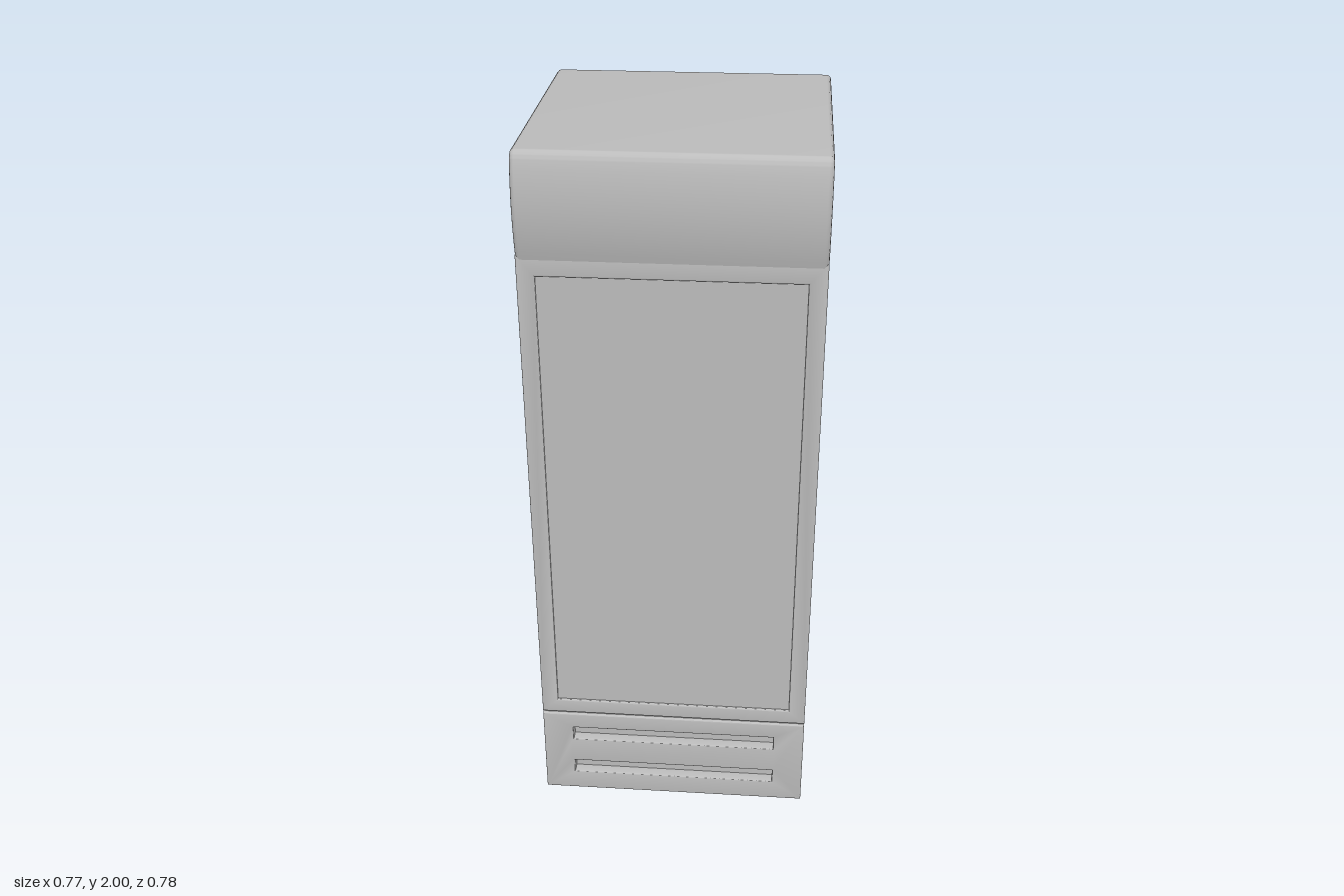
import * as THREE from 'three';
import { toCreasedNormals } from 'three/addons/utils/BufferGeometryUtils.js';

const HALF = 0.387;

export function createModel() {
  const group = new THREE.Group();
  const grey = new THREE.MeshStandardMaterial({ color: 0xbcbcbc });
  grey.name = 'light grey';

  const add = (name, geometry) => {
    const mesh = new THREE.Mesh(geometry, grey);
    mesh.name = name;
    group.add(mesh);
  };

  // Box given by its half width and its y and z ranges
  const block = (name, hw, y0, y1, z0, z1) => {
    const g = new THREE.BoxGeometry(hw * 2, y1 - y0, z1 - z0);
    g.translate(0, (y0 + y1) / 2, (z0 + z1) / 2);
    add(name, g);
  };

  // Extrusion with softened edges that keeps the drawn outline
  const softExtrude = (shape, depth, bevel, segments) => {
    const g = new THREE.ExtrudeGeometry(shape, {
      depth: depth - 2 * bevel, bevelEnabled: true, bevelThickness: bevel,
      bevelSize: bevel, bevelOffset: -bevel, bevelSegments: segments, curveSegments: 12,
    });
    g.translate(0, 0, bevel);
    return g;
  };

  const rect = (Type, hw, y0, y1) => {
    const r = new Type();
    r.moveTo(-hw, y0);
    r.lineTo(hw, y0);
    r.lineTo(hw, y1);
    r.lineTo(-hw, y1);
    r.closePath();
    return r;
  };

  // Front panel with rectangular openings
  const panel = (name, y0, y1, z0, z1, holes) => {
    const shape = rect(THREE.Shape, HALF, y0, y1);
    holes.forEach(([hw, a, b]) => shape.holes.push(rect(THREE.Path, hw, a, b)));
    const g = softExtrude(shape, z1 - z0, 0.004, 3);
    g.translate(0, 0, z0);
    add(name, toCreasedNormals(g, 0.6));
  };

  // Cabinet side profile (z, y) with the bulging header, extruded across x
  const profile = new THREE.Shape();
  profile.moveTo(-0.375, 0);
  profile.lineTo(0.345, 0);
  profile.lineTo(0.345, 0.285);
  profile.lineTo(0.30, 0.285);
  profile.lineTo(0.30, 1.72);
  profile.lineTo(0.374, 1.72);
  profile.bezierCurveTo(0.397, 1.81, 0.397, 1.90, 0.379, 1.975);
  profile.quadraticCurveTo(0.373, 2, 0.355, 2);
  profile.lineTo(-0.375, 2);
  profile.quadraticCurveTo(-0.392, 2, -0.392, 1.983);
  profile.lineTo(-0.392, 0.017);
  profile.quadraticCurveTo(-0.392, 0, -0.375, 0);
  const cabinet = softExtrude(profile, HALF * 2, 0.012, 3);
  cabinet.translate(0, 0, -HALF);
  cabinet.rotateY(-Math.PI / 2);
  add('cabinet', toCreasedNormals(cabinet, 0.6));

  // Door frame behind the header's lower edge, with side grooves
  block('cabinetFrontEdge', HALF, 0.27, 1.735, 0.25, 0.324);
  block('doorGasket', HALF - 0.012, 0.27, 1.735, 0.25, 0.35);
  block('doorBack', HALF, 0.295, 1.735, 0.334, 0.36);
  block('doorSill', HALF - 0.003, 0.27, 0.30, 0.25, 0.366);
  panel('doorFrame', 0.294, 1.735, 0.345, 0.375, [[0.34, 0.34, 1.68]]);
  block('doorPane', 0.342, 0.338, 1.682, 0.355, 0.368);

  // Base panel with two ventilation slots
  panel('ventPanel', 0, 0.287, 0.30, 0.375, [[0.298, 0.065, 0.108], [0.298, 0.192, 0.235]]);

  return group;
}
